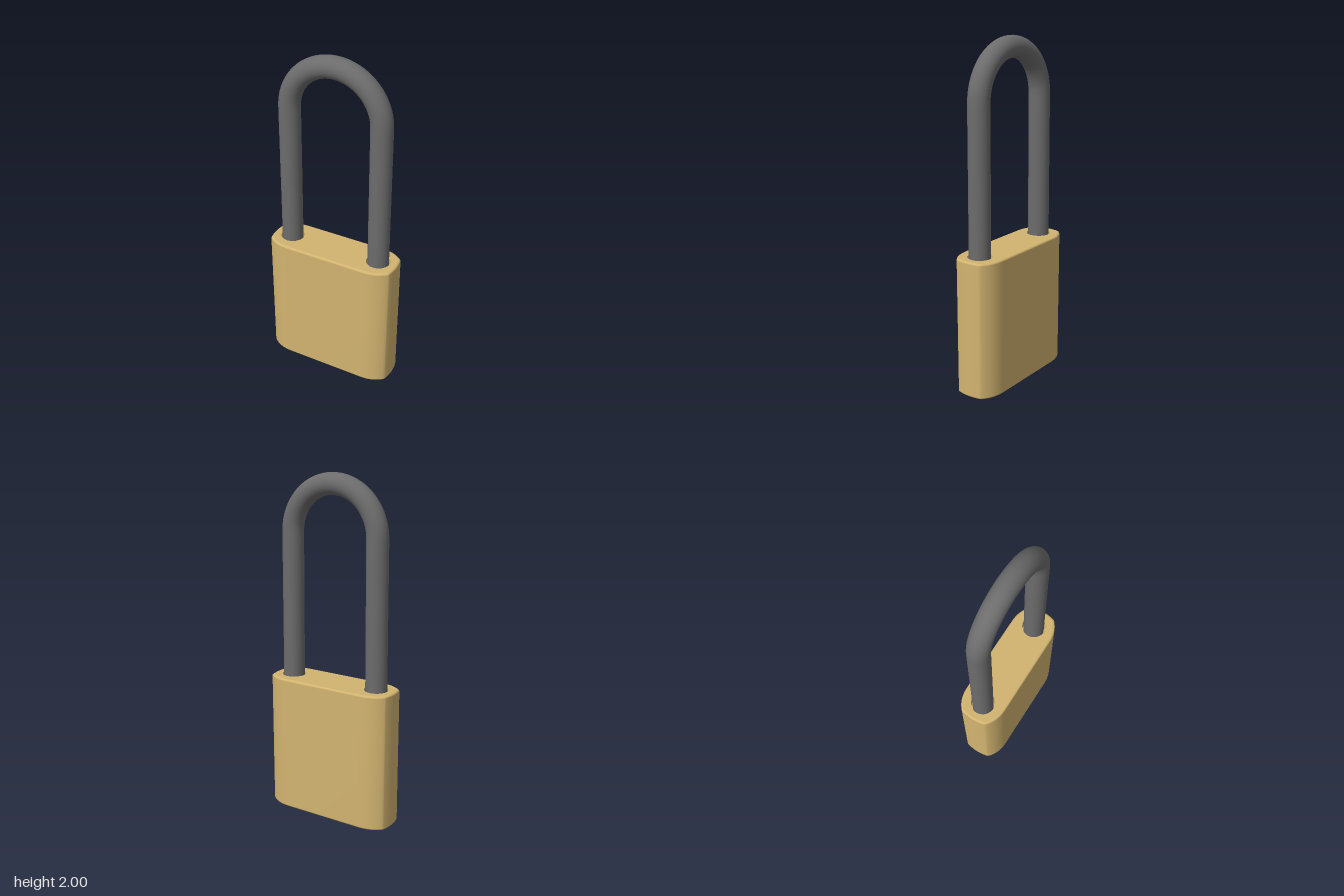
import * as THREE from 'three';

const brass = new THREE.MeshStandardMaterial({ color: 0xd2b470 });
brass.name = 'brass';
const steel = new THREE.MeshStandardMaterial({ color: 0x6c6c6c });
steel.name = 'dark steel';

const HEIGHT = 0.81, BEVEL = 0.012;
const LEG_X = 0.284, HOLE_R = 0.07, HOLE_DEPTH = 0.08;

// Outline of the body seen from above: flat sides, rounded corners, bulged ends
function outline() {
  const s = new THREE.Shape();
  s.moveTo(0.4, 0);
  s.quadraticCurveTo(0.399, 0.045, 0.388, 0.08);
  s.quadraticCurveTo(0.335, 0.133, 0.25, 0.133);
  s.lineTo(-0.25, 0.133);
  s.quadraticCurveTo(-0.335, 0.133, -0.388, 0.08);
  s.quadraticCurveTo(-0.399, 0.045, -0.4, 0);
  s.quadraticCurveTo(-0.399, -0.045, -0.388, -0.08);
  s.quadraticCurveTo(-0.335, -0.133, -0.25, -0.133);
  s.lineTo(0.25, -0.133);
  s.quadraticCurveTo(0.335, -0.133, 0.388, -0.08);
  s.quadraticCurveTo(0.399, -0.045, 0.4, 0);
  return s.getPoints(10).slice(0, -1);
}

const inset = (pts, d) => pts.map(p => new THREE.Vector2(p.x * (1 - d / 0.4), p.y * (1 - d / 0.133)));

// Side wall lofted through rows that round over at both rims
function wallGeometry(pts) {
  const rows = [], steps = 4;
  for (let k = 0; k <= steps; k++) {
    const a = (k / steps) * Math.PI / 2;
    rows.push([BEVEL * (1 - Math.cos(a)), HEIGHT - BEVEL + BEVEL * Math.sin(a)]);
  }
  const all = [...rows.map(([d, h]) => [d, HEIGHT - h]).reverse(), ...rows];
  const n = pts.length, pos = [], idx = [];
  for (const [d, h] of all) for (const p of inset(pts, d)) pos.push(p.x, p.y, h);
  for (let r = 0; r < all.length - 1; r++) {
    for (let i = 0; i < n; i++) {
      const j = (i + 1) % n, a = r * n + i, b = r * n + j;
      idx.push(a, b, b + n, a, b + n, a + n);
    }
  }
  const g = new THREE.BufferGeometry();
  g.setAttribute('position', new THREE.Float32BufferAttribute(pos, 3));
  g.setIndex(idx);
  g.computeVertexNormals();
  return g.rotateX(-Math.PI / 2);
}

function add(parent, name, geometry, material) {
  const mesh = new THREE.Mesh(geometry, material);
  mesh.name = name;
  parent.add(mesh);
  return mesh;
}

export function createModel() {
  const model = new THREE.Group();
  model.name = 'padlock';

  // Body: wall, base and a top plate with two shackle holes
  const body = new THREE.Group();
  body.name = 'body';
  model.add(body);
  const pts = outline();
  add(body, 'bodyWall', wallGeometry(pts), brass);

  const rim = inset(pts, BEVEL);
  add(body, 'bodyBase', new THREE.ShapeGeometry(new THREE.Shape(rim)).rotateX(Math.PI / 2), brass);

  const topShape = new THREE.Shape(rim);
  for (const side of [-1, 1]) {
    topShape.holes.push(new THREE.Path().absarc(side * LEG_X, 0, HOLE_R, 0, Math.PI * 2, true));
  }
  const top = new THREE.ShapeGeometry(topShape, 24).rotateX(-Math.PI / 2);
  add(body, 'bodyTop', top, brass).position.y = HEIGHT;

  // Sockets the shackle legs drop into
  for (const side of [-1, 1]) {
    const wall = new THREE.CylinderGeometry(HOLE_R, HOLE_R, HOLE_DEPTH, 48, 1, true);
    wall.scale(-1, 1, 1); // mirrored so the faces look inward
    const index = wall.index.array;
    const normal = wall.attributes.normal;
    for (let i = 0; i < normal.count; i++) {
      normal.setXYZ(i, -wall.attributes.position.getX(i) / HOLE_R, 0, -wall.attributes.position.getZ(i) / HOLE_R);
    }
    wall.setIndex(Array.from(index));
    add(body, 'socketWall', wall, brass).position.set(side * LEG_X, HEIGHT - HOLE_DEPTH / 2, 0);
    const floor = new THREE.CircleGeometry(HOLE_R, 48).rotateX(-Math.PI / 2);
    add(body, 'socketFloor', floor, brass).position.set(side * LEG_X, HEIGHT - HOLE_DEPTH, 0);
  }

  // Shackle: two long legs joined by a half-circle arch
  const ARCH_R = 0.28, ARCH_Y = 1.658, ROD_R = 0.062;
  const path = new THREE.CurvePath();
  const v = (x, y) => new THREE.Vector3(x, y, 0);
  const arch = [];
  for (let i = 0; i <= 24; i++) {
    const a = Math.PI * (1 - i / 24);
    arch.push(v(ARCH_R * Math.cos(a), ARCH_Y + ARCH_R * Math.sin(a)));
  }
  path.add(new THREE.LineCurve3(v(-LEG_X, HEIGHT - HOLE_DEPTH), arch[0]));
  path.add(new THREE.CatmullRomCurve3(arch));
  path.add(new THREE.LineCurve3(arch[24], v(LEG_X, HEIGHT - HOLE_DEPTH)));
  add(model, 'shackle', new THREE.TubeGeometry(path, 120, ROD_R, 32, false), steel);

  return model;
}
